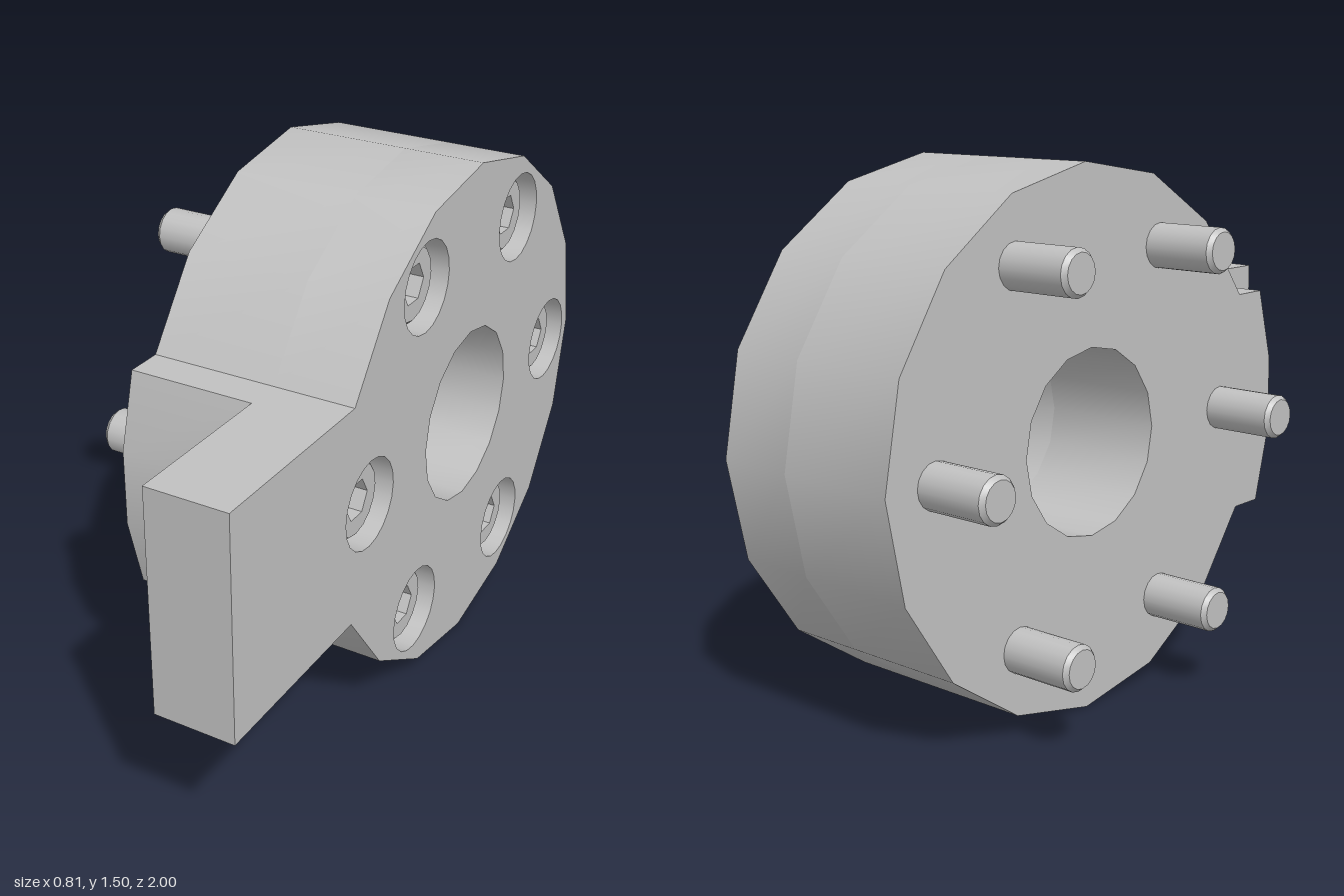
import * as THREE from 'three';
import { toCreasedNormals } from 'three/addons/utils/BufferGeometryUtils.js';

const CY = 0.755, CZ = -0.25;            // axis of the bore (runs along x)
const BACK = -0.195, STEP = 0.17, FACE = 0.405;
const HALF = 0.325;                      // half height of the arm
const ARM = Math.asin(HALF / 0.75);      // angle where the arm meets the disc

// Profile points are drawn as (-z, y), then turned so extrusion runs along +x
const polar = (r, a) => new THREE.Vector2(-CZ - r * Math.cos(a), CY + r * Math.sin(a));
const arc = (r, from, to, n) =>
  Array.from({ length: n + 1 }, (_, i) => polar(r, from + (to - from) * i / n));
const circle = (z, y, r, n) => new THREE.Path(Array.from({ length: n }, (_, i) => {
  const a = i / n * Math.PI * 2;
  return new THREE.Vector2(-z + r * Math.cos(a), y + r * Math.sin(a));
}));

function slab(shape, x0, x1) {
  const g = new THREE.ExtrudeGeometry(shape, { depth: x1 - x0, bevelEnabled: false });
  g.rotateY(Math.PI / 2).translate(x0, 0, 0);
  return toCreasedNormals(g, 0.55);
}

export function createModel() {
  const model = new THREE.Group();
  model.name = 'clampFlange';
  const steel = new THREE.MeshStandardMaterial({ color: 0xc0c0c0 });
  steel.name = 'steel grey';
  const add = (parent, name, geometry) => {
    const mesh = new THREE.Mesh(geometry, steel);
    mesh.name = name;
    parent.add(mesh);
    return mesh;
  };

  // Screw centres on the bolt circle
  const screws = Array.from({ length: 6 }, (_, i) => {
    const p = polar(0.583, i * Math.PI / 3);
    return { z: -p.x, y: p.y };
  });
  const disc = arc(0.75, ARM, Math.PI * 2 - ARM, 14);

  // Outer layer: disc with the long arm, bore and counterbores
  const plate = new THREE.Shape([...disc,
    new THREE.Vector2(-1, CY - HALF), new THREE.Vector2(-1, CY + HALF)]);
  plate.holes.push(circle(CZ, CY, 0.26, 16));
  screws.forEach(s => plate.holes.push(circle(s.z, s.y, 0.13, 20)));
  add(model, 'armPlate', slab(plate, STEP, FACE));

  // Inner layer: disc with a short rounded shoulder under the arm
  const a = Math.asin(HALF / 0.847);
  const body = new THREE.Shape([...disc, ...arc(0.847, -a, a, 3)]);
  body.holes.push(circle(CZ, CY, 0.26, 16));
  add(model, 'discBody', slab(body, BACK, STEP));

  // Socket screws: turned shank and head, hexagonal recess in the top
  const top = 0.365, floor = 0.3;
  const profile = [[0, -0.41], [0.052, -0.41], [0.063, -0.397], [0.063, STEP],
    [0.115, STEP], [0.115, 0.353], [0.103, top]].map(p => new THREE.Vector2(...p));
  const turned = toCreasedNormals(
    new THREE.LatheGeometry(profile, 16).rotateZ(-Math.PI / 2), 0.55);
  const ring = new THREE.Shape(circle(0, 0, 0.103, 16).getPoints());
  ring.holes.push(circle(0, 0, 0.058, 6));
  const socket = slab(ring, floor, top);
  const bottom = new THREE.CircleGeometry(0.06, 6).rotateY(Math.PI / 2).translate(floor, 0, 0);
  screws.forEach((s, i) => {
    const screw = new THREE.Group();
    screw.name = 'screw' + (i + 1);
    screw.position.set(0, s.y, s.z);
    add(screw, 'shankAndHead', turned);
    add(screw, 'hexSocket', socket);
    add(screw, 'socketFloor', bottom);
    model.add(screw);
  });
  return model;
}
